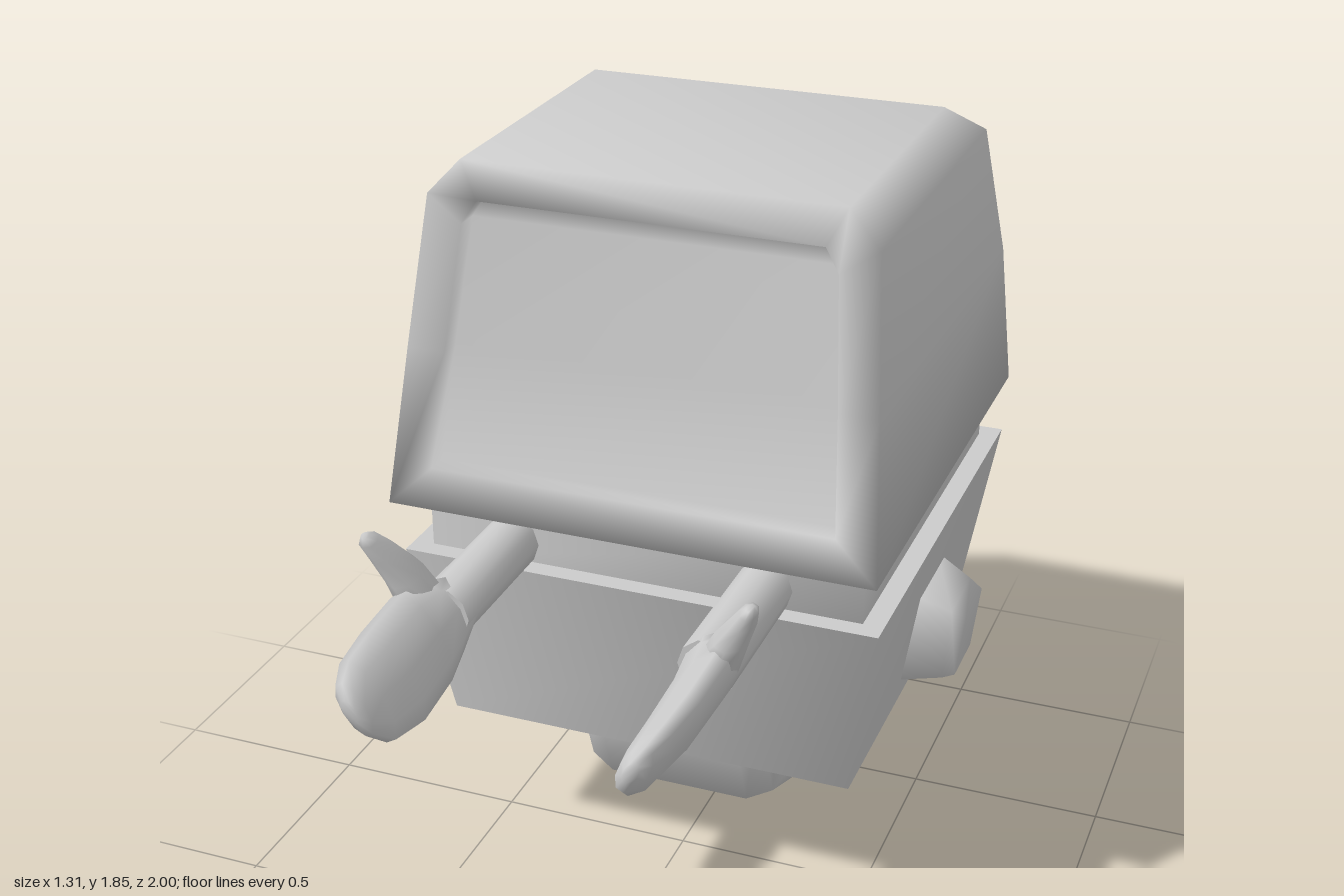
import * as THREE from 'three';

const CX = -0.043; // mid plane of the torso
const material = new THREE.MeshStandardMaterial({ color: 0xcccccc, side: THREE.DoubleSide });

// Skin a list of equal rings of [x, y, z] points; caps are smooth or sharp-edged.
function loft(name, rings, sharpCaps = false) {
  const n = rings[0].length, last = rings.length - 1;
  const pos = rings.flat(2), index = [];
  for (let r = 0; r < last; r++) {
    for (let i = 0; i < n; i++) {
      const a = r * n + i, b = r * n + (i + 1) % n;
      index.push(a, b, b + n, a, b + n, a + n);
    }
  }
  const cap = (ring, flip) => {
    let base = ring * n;
    if (sharpCaps) {
      base = pos.length / 3;
      pos.push(...rings[ring].flat());
    }
    for (let i = 0; i < n / 2 - 1; i++) {
      const [a, b, c, d] = [i, i + 1, n - 2 - i, n - 1 - i].map(k => k + base);
      if (flip) index.push(a, c, b, a, d, c);
      else index.push(a, b, c, a, c, d);
    }
  };
  cap(0, true);
  cap(last, false);

  // Turn the faces outward if the enclosed volume is negative
  const v = k => new THREE.Vector3().fromArray(pos, k * 3);
  let volume = 0;
  for (let t = 0; t < index.length; t += 3) {
    volume += v(index[t]).dot(v(index[t + 1]).cross(v(index[t + 2])));
  }
  if (volume < 0) index.reverse();

  const geometry = new THREE.BufferGeometry();
  geometry.setAttribute('position', new THREE.Float32BufferAttribute(pos, 3));
  geometry.setIndex(index);
  geometry.computeVertexNormals();
  const mesh = new THREE.Mesh(geometry, material);
  mesh.name = name;
  return mesh;
}

// Horizontal rectangle
const rect = (y, hx, front, back) => [
  [CX - hx, y, front], [CX + hx, y, front], [CX + hx, y, back], [CX - hx, y, back],
];

// Tilted ellipse across z, used for arms and hands
function ellipse(x, y, z, long, thin, tilt, n = 10) {
  return Array.from({ length: n }, (_, i) => {
    const a = (i / n) * Math.PI * 2;
    const u = Math.cos(a) * thin, w = Math.sin(a) * long;
    return [x + u * Math.cos(tilt) - w * Math.sin(tilt), y + u * Math.sin(tilt) + w * Math.cos(tilt), z];
  });
}

// Head: back outline -> front outline -> rim -> recessed face panel
function makeHead() {
  const outline = levels => [
    ...levels.map(([y, hx, z]) => [CX - hx, y, z]),
    ...levels.slice().reverse().map(([y, hx, z]) => [CX + hx, y, z]),
  ];
  const slope = y => 0.275 - (y - 1.02) * 0.212;
  const onFront = (levels, depth) => outline(levels.map(([y, hx]) => [y, hx, slope(y) - depth]));
  const outer = [[1.02, 0.613], [1.4, 0.58], [1.76, 0.545], [1.845, 0.465]];
  const inner = [[1.12, 0.505], [1.4, 0.483], [1.7, 0.455], [1.755, 0.42]];
  const backZ = [-1, -0.96, -0.82, -0.69];
  return loft('head', [
    outline(outer.map(([y, hx], i) => [y, hx, backZ[i]])),
    onFront(outer, 0),
    onFront(inner, 0),
    onFront(inner, 0.06),
  ]);
}

// Foot: pointed keel profile swept across x with rounded ends
function makeFoot() {
  const profile = [[-0.45, 0.5], [-0.305, 0.12], [0, 0], [0.305, 0.12], [0.45, 0.5], [0, 0.5]];
  const stations = [[-0.285, 0.78], [-0.255, 0.92], [-0.19, 1], [0.19, 1], [0.255, 0.92], [0.285, 0.78]];
  return loft('foot', stations.map(([x, s]) =>
    profile.map(([z, y]) => [CX + x, 0.45 + (y - 0.45) * s, -0.385 + z * s])));
}

// Side knob: tapered block
function makeKnob() {
  const section = (x0, x1, y0, y1, z0, z1) => [[x0, y0, z0], [x1, y1, z0], [x1, y1, z1], [x0, y0, z1]];
  return loft('sideKnob', [
    section(0.46, 0.52, 0.45, 0.715, -0.505, -0.262),
    section(0.6, 0.615, 0.47, 0.668, -0.485, -0.295),
    section(0.63, 0.65, 0.477, 0.65, -0.472, -0.31),
  ]);
}

// Arm with mitten hand and thumb, reaching forward; side is +1 for left, -1 for right
function makeArm(side) {
  const arm = new THREE.Group();
  arm.name = side > 0 ? 'leftArm' : 'rightArm';
  const place = ring => ring.map(([x, y, z]) => [-0.055 + side * x, y, z]);
  const tilt = -0.52; // top of the hand leans outward

  arm.add(loft('forearm', [
    ellipse(0.325, 0.915, 0.0, 0.068, 0.068, 0),
    ellipse(0.325, 0.915, 0.56, 0.07, 0.07, 0),
  ].map(place), true));

  arm.add(loft('hand', [
    [0.325, 0.915, 0.5, 0.068, 0.066],
    [0.33, 0.91, 0.57, 0.1, 0.062],
    [0.33, 0.9, 0.65, 0.122, 0.056],
    [0.325, 0.888, 0.8, 0.126, 0.052],
    [0.322, 0.895, 0.92, 0.108, 0.044],
    [0.322, 0.91, 0.98, 0.068, 0.032],
    [0.322, 0.915, 1.0, 0.03, 0.016],
  ].map(([x, y, z, l, t]) => place(ellipse(x, y, z, l, t, tilt)))));

  const flatRing = (x, y, z, r) => Array.from({ length: 8 }, (_, i) => {
    const a = (i / 8) * Math.PI * 2;
    return [x + r * 0.8 * Math.cos(a), y + r * 0.3 * Math.sin(a), z - r * Math.sin(a)];
  });
  arm.add(loft('thumb', [
    [0.35, 0.93, 0.57, 0.065],
    [0.395, 1.03, 0.593, 0.052],
    [0.43, 1.09, 0.62, 0.038],
    [0.45, 1.13, 0.645, 0.027],
    [0.455, 1.143, 0.652, 0.012],
  ].map(p => place(flatRing(...p)))));
  return arm;
}

export function createModel() {
  const model = new THREE.Group();
  model.name = 'figure';
  model.add(
    makeHead(),
    loft('neck', [rect(0.84, 0.555, 0.17, -0.94), rect(1.04, 0.555, 0.17, -0.94)], true),
    loft('body', [rect(0.38, 0.53, 0.145, -0.915), rect(0.865, 0.607, 0.22, -0.99)], true),
    makeFoot(),
    makeKnob(),
    makeArm(1),
    makeArm(-1),
  );
  return model;
}
